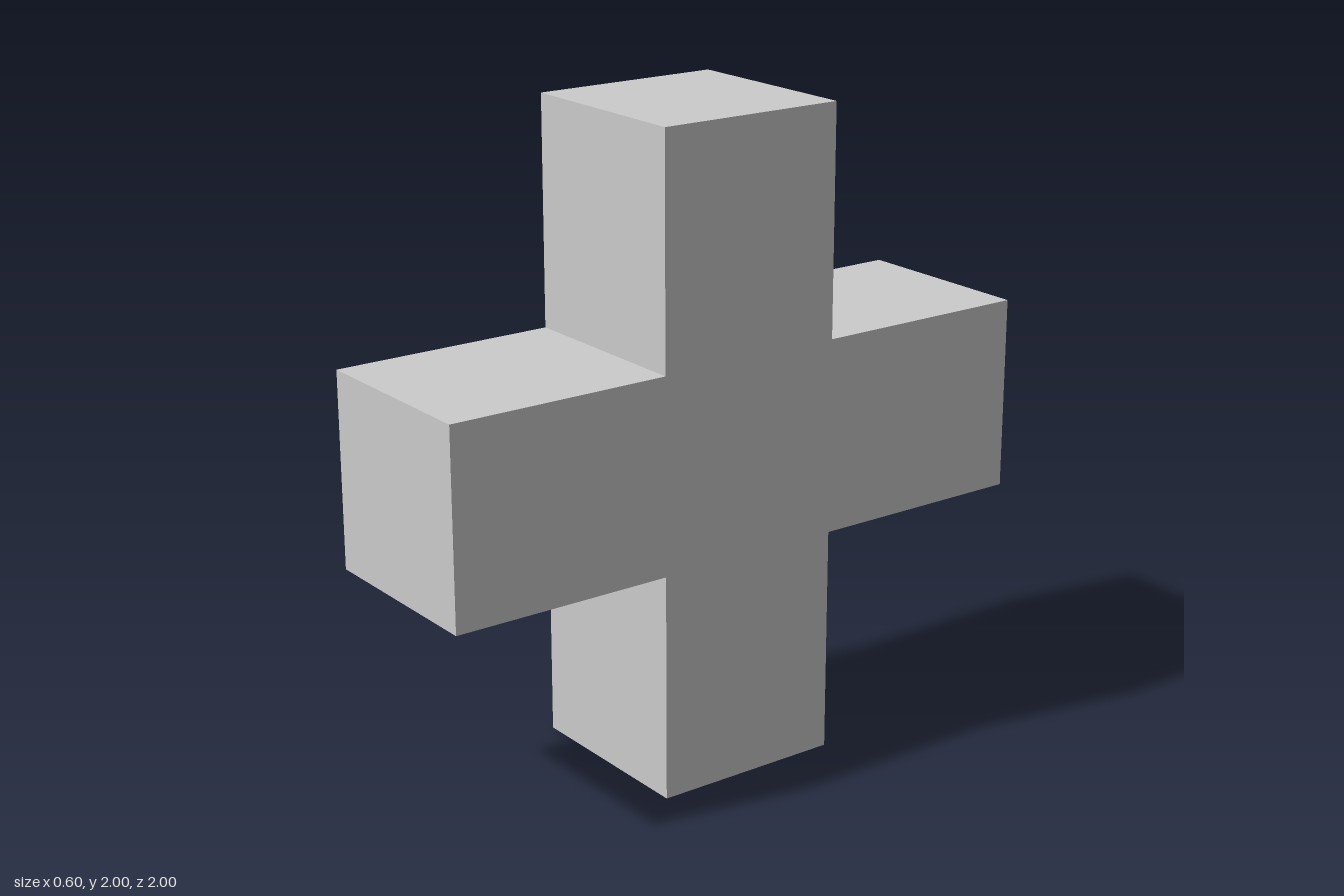
import * as THREE from 'three';

export function createModel() {
  const arm = 1;    // reach of each arm from the centre
  const half = 0.3; // half the width and half the thickness

  // Plus-shaped outline: the same three corners turned through four quarters
  const points = [];
  for (let i = 0; i < 4; i++) {
    for (const [x, y] of [[arm, -half], [arm, half], [half, half]]) {
      points.push(new THREE.Vector2(x, y).rotateAround(new THREE.Vector2(), i * Math.PI / 2));
    }
  }

  // Extruded as one solid, then turned so the outline faces sideways and stands on the ground
  const geometry = new THREE.ExtrudeGeometry(new THREE.Shape(points), {
    depth: 2 * half,
    bevelEnabled: false,
  });
  geometry.translate(0, 0, -half).rotateY(Math.PI / 2).translate(0, arm, 0);

  const cross = new THREE.Mesh(
    geometry,
    new THREE.MeshStandardMaterial({ color: 0xcccccc, flatShading: true })
  );
  cross.name = 'cross';

  const model = new THREE.Group();
  model.name = 'crossBlock';
  model.add(cross);
  return model;
}
